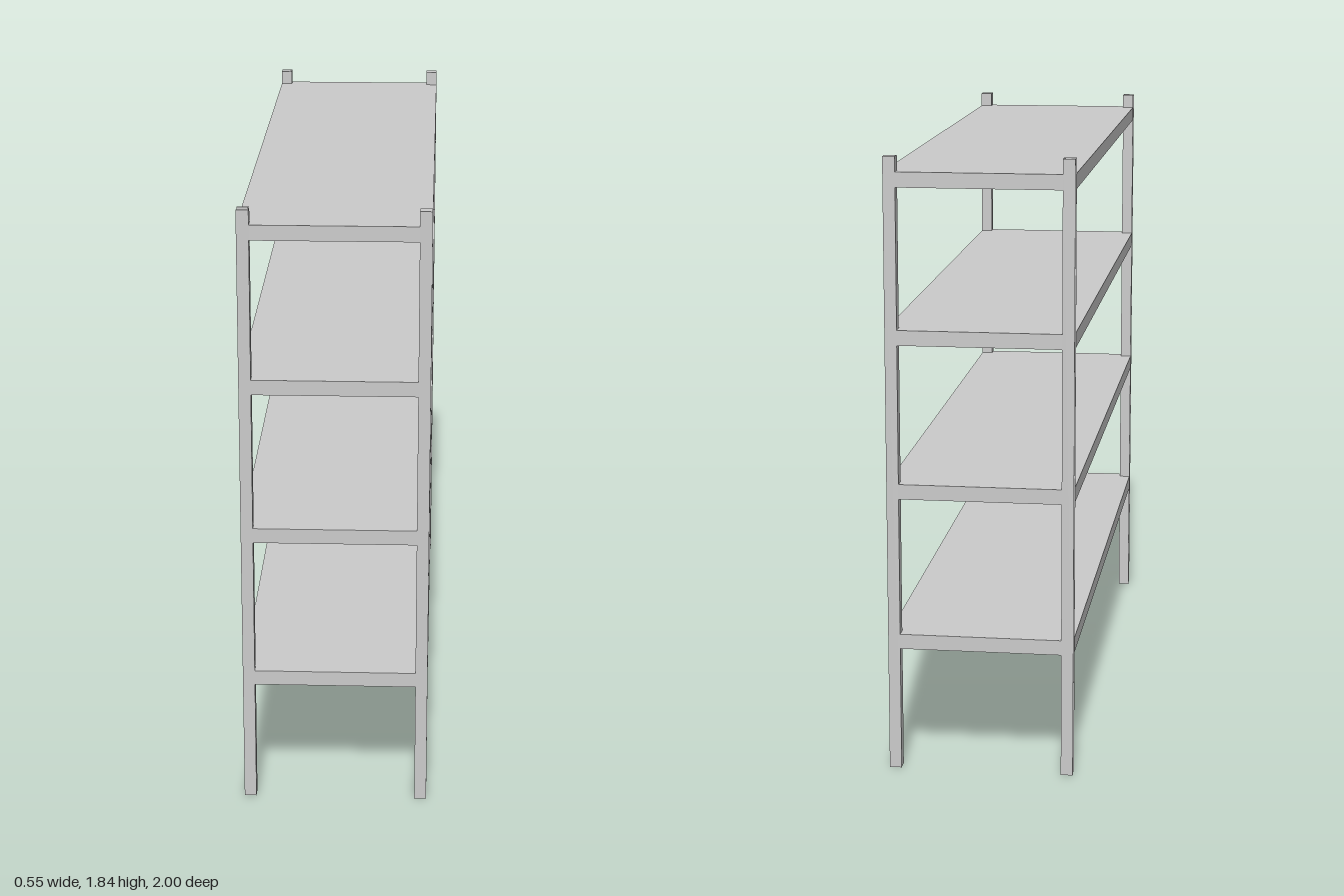
import * as THREE from 'three';

const W = 0.554, D = 2, H = 1.844;      // overall width, depth, height
const POST = 0.036, WALL = 0.004;       // post thickness, metal thickness
const RAIL = 0.045, SHEET = 0.015;      // shelf edge height, shelf board thickness
const LEVELS = [0.42, 0.88, 1.34, 1.8]; // top of each shelf

// Upright prism from an outline of [x, z] points, rising from y = 0
function prism(points, height) {
  const shape = new THREE.Shape(points.map(([x, z]) => new THREE.Vector2(x, -z)));
  const geometry = new THREE.ExtrudeGeometry(shape, { depth: height, bevelEnabled: false });
  return geometry.rotateX(-Math.PI / 2);
}

export function createModel() {
  const group = new THREE.Group();
  const grey = new THREE.MeshStandardMaterial({ color: 0xcccccc, flatShading: true });

  const add = (parent, name, geometry, x, y, z) => {
    const mesh = new THREE.Mesh(geometry, grey);
    mesh.name = name;
    mesh.position.set(x, y, z);
    parent.add(mesh);
  };

  // Corner posts: closed on the left side, channels open outwards on the right
  const h = POST / 2, t = WALL;
  const closedPost = prism([[-h, -h], [h, -h], [h, h], [-h, h]], H);
  const channelPost = prism([[-h, -h], [h, -h], [h, h], [-h, h],
    [-h, h - t], [h - t, h - t], [h - t, t - h], [-h, t - h]], H);
  for (const end of [1, -1]) {
    const x = W / 2 - h, z = end * (D / 2 - h);
    const place = end > 0 ? 'front' : 'back';
    add(group, place + 'LeftPost', closedPost, x, 0, z);
    add(group, place + 'RightPost', channelPost, -x, 0, z);
  }

  // Shelf board with the four corners cut out around the posts
  const a = W / 2, b = D / 2, p = POST;
  const board = prism([[a - p, -b], [a - p, p - b], [a, p - b], [a, b - p], [a - p, b - p], [a - p, b],
    [p - a, b], [p - a, b - p], [-a, b - p], [-a, p - b], [p - a, p - b], [p - a, -b]], SHEET);

  // Shelves: a board with a thin edge hanging down on each side
  const longEdge = new THREE.BoxGeometry(WALL, RAIL, D - 2 * POST);
  const shortEdge = new THREE.BoxGeometry(W - 2 * POST, RAIL, WALL);
  LEVELS.forEach((top, i) => {
    const shelf = new THREE.Group();
    shelf.name = 'shelf' + (i + 1);
    shelf.position.y = top;
    add(shelf, 'shelfBoard', board, 0, -SHEET, 0);
    for (const s of [1, -1]) {
      add(shelf, 'longEdge', longEdge, s * (W - WALL) / 2, -RAIL / 2, 0);
      add(shelf, 'shortEdge', shortEdge, 0, -RAIL / 2, s * (D - WALL) / 2);
    }
    group.add(shelf);
  });
  return group;
}
